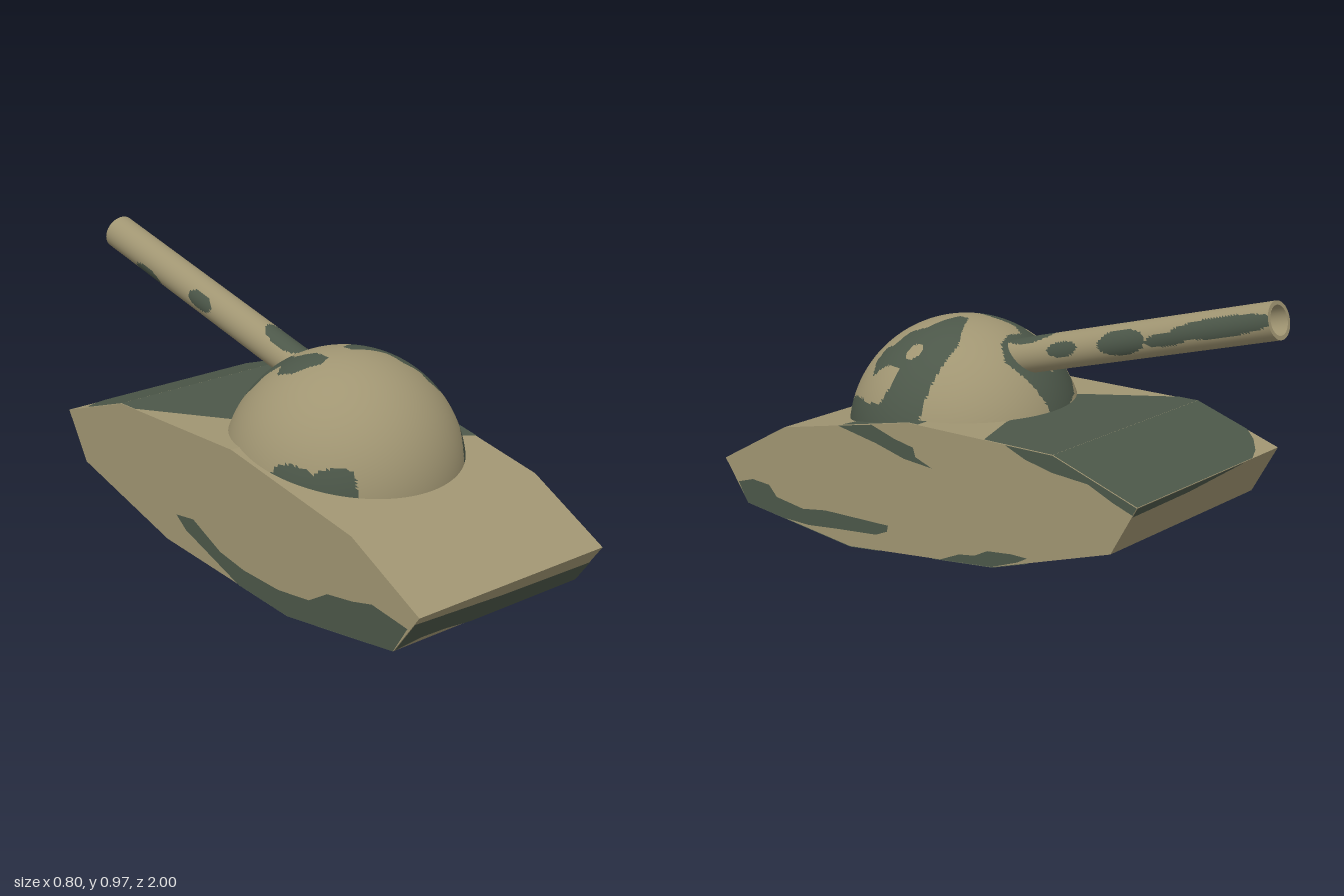
import * as THREE from 'three';

const tan = new THREE.MeshStandardMaterial({ color: 0xa09572, side: THREE.DoubleSide });
tan.name = 'sand';
const green = new THREE.MeshStandardMaterial({ color: 0x4c5749, side: THREE.DoubleSide });
green.name = 'darkGreen';

const HALF = 0.4; // half width of the hull
const LIFT = 0.002; // height of painted plates

// Hull outline as [z, y], split into its upper and lower run from front to back
const upper = [[1, 0.2], [0.705, 0.363], [0.14, 0.479], [-0.445, 0.48], [-0.76, 0.376]];
const lower = [[1, 0.2], [0.893, 0.056], [0.41, 0], [-0.205, 0.065], [-0.665, 0.21], [-0.76, 0.376]];

// Camouflage on the upper and lower hull faces as [x, z]
const upperPatches = [
  [[-0.22, -0.77], [-0.3, -0.735], [-0.36, -0.69], [-0.4, -0.64], [-0.4, -0.37], [-0.22, -0.08],
    [0.2, -0.105], [0.4, -0.175], [0.4, -0.77]],
  [[0.4, 0.44], [0.32, 0.4], [0.25, 0.3], [0.3, 0.1], [0.4, 0.1]],
];
const lowerPatches = [
  [[-0.4, 0.981], [0, 0.96], [0.4, 0.952], [0.4, 0.28], [0.19, 0.36], [0.04, 0.3], [-0.27, 0.33],
    [-0.37, 0.2], [-0.4, 0.17], [-0.4, 0.79], [-0.25, 0.82], [-0.05, 0.89], [-0.2, 0.907],
    [-0.3, 0.91], [-0.4, 0.897]],
  [[0.4, 0.05], [0.4, -0.34], [0.26, -0.4], [0.1, -0.33], [-0.085, -0.23], [0.11, -0.18],
    [0.09, -0.12], [0.34, 0.05]],
  [[0.4, -0.77], [0.4, -0.742], [0.1, -0.745], [-0.2, -0.76]],
];
// Camouflage on the hull sides as [z, y]
const leftPatches = [
  [[0.936, 0.125], [0.866, 0.147], [0.786, 0.142], [0.75, 0.105], [0.625, 0.088], [0.52, 0.104],
    [0.235, 0.11], [0.24, 0.088], [0.29, 0.067], [0.465, 0.05], [0.6, 0.035], [0.72, 0.036], [0.893, 0.056]],
  [[0.01, 0.043], [-0.07, 0.078], [-0.134, 0.088], [-0.187, 0.115], [-0.283, 0.126], [-0.347, 0.126],
    [-0.31, 0.105], [-0.205, 0.066]],
  [[0.45, 0.415], [0.3, 0.445], [0.2, 0.415], [0.12, 0.4], [0.11, 0.37], [0.04, 0.345], [0.16, 0.355], [0.28, 0.385]],
  [[-0.26, 0.479], [-0.445, 0.48], [-0.76, 0.376], [-0.745, 0.35], [-0.67, 0.376], [-0.58, 0.415],
    [-0.445, 0.425], [-0.34, 0.447]],
];
const rightPatches = [
  [[-0.15, 0.17], [-0.06, 0.18], [0.08, 0.11], [0.2, 0.085], [0.37, 0.075], [0.516, 0.09], [0.6, 0.14],
    [0.714, 0.155], [0.8, 0.175], [0.953, 0.15], [0.893, 0.056], [0.41, 0], [0.17, 0.026], [-0.1, 0.13]],
];
// Camouflage on the dome, seen straight down as [x, z], with round gaps [x, z, radius]
const domePatches = [
  [[-0.22, -0.05], [-0.17, -0.1], [-0.1, -0.135], [0, -0.17], [0.04, -0.12], [0.08, -0.06], [0.1, -0.02],
    [0.06, 0.03], [0, 0.05], [-0.07, 0.05], [-0.1, 0.1], [-0.07, 0.17], [-0.08, 0.24], [-0.12, 0.25],
    [-0.19, 0.19], [-0.2, 0.13], [-0.15, 0.09], [-0.18, 0.05], [-0.22, 0.03]],
  [[0.02, 0.2], [0.1, 0.16], [0.17, 0.12], [0.24, 0.12], [0.42, 0.13], [0.42, 0.32], [0.36, 0.3],
    [0.33, 0.27], [0.29, 0.27], [0.28, 0.33], [0.29, 0.39], [0.24, 0.42], [0.2, 0.41], [0.2, 0.37],
    [0.15, 0.35], [0.13, 0.29], [0.02, 0.24]],
  [[0.2, 0.6], [0.25, 0.52], [0.3, 0.45], [0.345, 0.37], [0.36, 0.3], [0.5, 0.3], [0.4, 0.6]],
  [[-0.42, 0.25], [-0.365, 0.33], [-0.32, 0.44], [-0.23, 0.53], [-0.24, 0.62], [-0.45, 0.6]],
];
const domeGaps = [[-0.07, -0.05, 0.03], [0.24, 0.25, 0.028]];
// Camouflage on the barrel as ovals: z, angle from the top, half length, half angle (degrees)
const barrelSpots = [
  [-0.45, 85, 0.09, 42], [-0.62, 95, 0.08, 22], [-0.82, 80, 0.19, 32], [-0.45, -80, 0.06, 30],
  [-0.07, 0, 0.1, 45], [-0.22, 80, 0.06, 25], [-0.74, -125, 0.07, 28],
];

const shapeOf = (pts) => new THREE.Shape(pts.map(([a, b]) => new THREE.Vector2(a, b)));

function addMesh(parent, name, geometry, material) {
  const mesh = new THREE.Mesh(geometry, material);
  mesh.name = name;
  parent.add(mesh);
  return mesh;
}

function inside(pts, x, z) {
  let hit = false;
  pts.forEach(([ax, az], i) => {
    const [bx, bz] = pts[(i + 1) % pts.length];
    if ((az > z) !== (bz > z) && x < ax + ((z - az) / (bz - az)) * (bx - ax)) hit = !hit;
  });
  return hit;
}

// Keeps the part of an [x, z] polygon where sign * (z - limit) >= 0
function clip(pts, limit, sign) {
  const out = [];
  pts.forEach((a, i) => {
    const b = pts[(i + 1) % pts.length];
    const da = sign * (a[1] - limit), db = sign * (b[1] - limit);
    if (da >= 0) out.push(a);
    if (da * db < 0) out.push([a[0] + (b[0] - a[0]) * da / (da - db), limit]);
  });
  return out;
}

// Lays [x, z] polygons on each sloping face of a run of the hull outline
function paintRun(parent, name, run, patches, up) {
  for (let i = 0; i < run.length - 1; i++) {
    const [z1, y1] = run[i], [z0, y0] = run[i + 1];
    const slope = (y1 - y0) / (z1 - z0), len = Math.hypot(1, slope);
    for (const patch of patches) {
      const piece = clip(clip(patch, z0, 1), z1, -1);
      if (piece.length < 3) continue;
      const g = new THREE.ShapeGeometry(shapeOf(piece));
      const p = g.attributes.position;
      for (let k = 0; k < p.count; k++) {
        const z = p.getY(k);
        p.setXYZ(k, p.getX(k), y0 + (z - z0) * slope + up * LIFT / len, z - up * LIFT * slope / len);
      }
      g.computeVertexNormals();
      addMesh(parent, name, g, green);
    }
  }
}

// Sorts triangles into sand and green groups by their centre
function camouflage(g, isGreen) {
  const p = g.attributes.position, idx = g.index.array, sets = [[], []];
  const c = new THREE.Vector3(), v = new THREE.Vector3();
  for (let i = 0; i < idx.length; i += 3) {
    c.set(0, 0, 0);
    for (let k = 0; k < 3; k++) c.add(v.fromBufferAttribute(p, idx[i + k]));
    c.divideScalar(3);
    sets[isGreen(c) ? 1 : 0].push(idx[i], idx[i + 1], idx[i + 2]);
  }
  g.setIndex([...sets[0], ...sets[1]]);
  g.clearGroups();
  g.addGroup(0, sets[0].length, 0);
  g.addGroup(sets[0].length, sets[1].length, 1);
  return g;
}

function makeHull() {
  const hull = new THREE.Group();
  hull.name = 'hull';
  const outline = [...upper, ...lower.slice(1, -1).reverse()];
  const body = new THREE.ExtrudeGeometry(shapeOf(outline), { depth: 2 * HALF, bevelEnabled: false });
  body.translate(0, 0, -HALF).rotateY(-Math.PI / 2);
  addMesh(hull, 'hullBody', body, tan);
  paintRun(hull, 'upperCamouflage', upper, upperPatches, 1);
  paintRun(hull, 'lowerCamouflage', lower, lowerPatches, -1);
  for (const [patches, side] of [[leftPatches, 1], [rightPatches, -1]]) {
    for (const patch of patches) {
      const g = new THREE.ShapeGeometry(shapeOf(patch));
      g.rotateY(-Math.PI / 2).translate(side * (HALF + LIFT), 0, 0);
      // the plate on the left side must wind the other way to face outward
      if (side > 0) {
        g.setIndex(Array.from(g.index.array).reverse());
        g.computeVertexNormals();
      }
      addMesh(hull, 'sideCamouflage', g, green);
    }
  }
  return hull;
}

function makeDome() {
  const g = new THREE.SphereGeometry(0.398, 192, 64, 0, Math.PI * 2, 0, Math.PI / 2);
  g.translate(0, 0.351, 0.23);
  const mesh = new THREE.Mesh(camouflage(g, ({ x, z }) =>
    domePatches.some((pts) => inside(pts, x, z)) &&
    !domeGaps.some(([gx, gz, r]) => Math.hypot(x - gx, z - gz) < r)), [tan, green]);
  mesh.name = 'turretDome';
  return mesh;
}

function makeBarrel() {
  const barrel = new THREE.Group();
  barrel.name = 'barrel';
  const length = 1.258, tilt = THREE.MathUtils.degToRad(75);
  const midY = 0.744, midZ = -0.377;
  const tube = new THREE.CylinderGeometry(0.06, 0.06, length, 48, 120, true);
  camouflage(tube, (c) => {
    const z = midZ - Math.sin(tilt) * c.y;
    const angle = THREE.MathUtils.radToDeg(Math.atan2(c.x, c.z));
    return barrelSpots.some(([sz, sa, hz, ha]) => Math.hypot((z - sz) / hz, (angle - sa) / ha) < 1);
  });
  addMesh(barrel, 'barrelTube', tube, [tan, green]);
  addMesh(barrel, 'barrelBore', new THREE.CylinderGeometry(0.047, 0.047, length, 32, 1, true), tan);
  const rim = new THREE.RingGeometry(0.047, 0.06, 48).rotateX(-Math.PI / 2);
  addMesh(barrel, 'muzzleRim', rim.translate(0, length / 2, 0), tan);
  barrel.rotation.x = -tilt;
  barrel.position.set(0, midY, midZ);
  return barrel;
}

export function createModel() {
  const model = new THREE.Group();
  model.name = 'tank';
  model.add(makeHull(), makeDome(), makeBarrel());
  return model;
}
